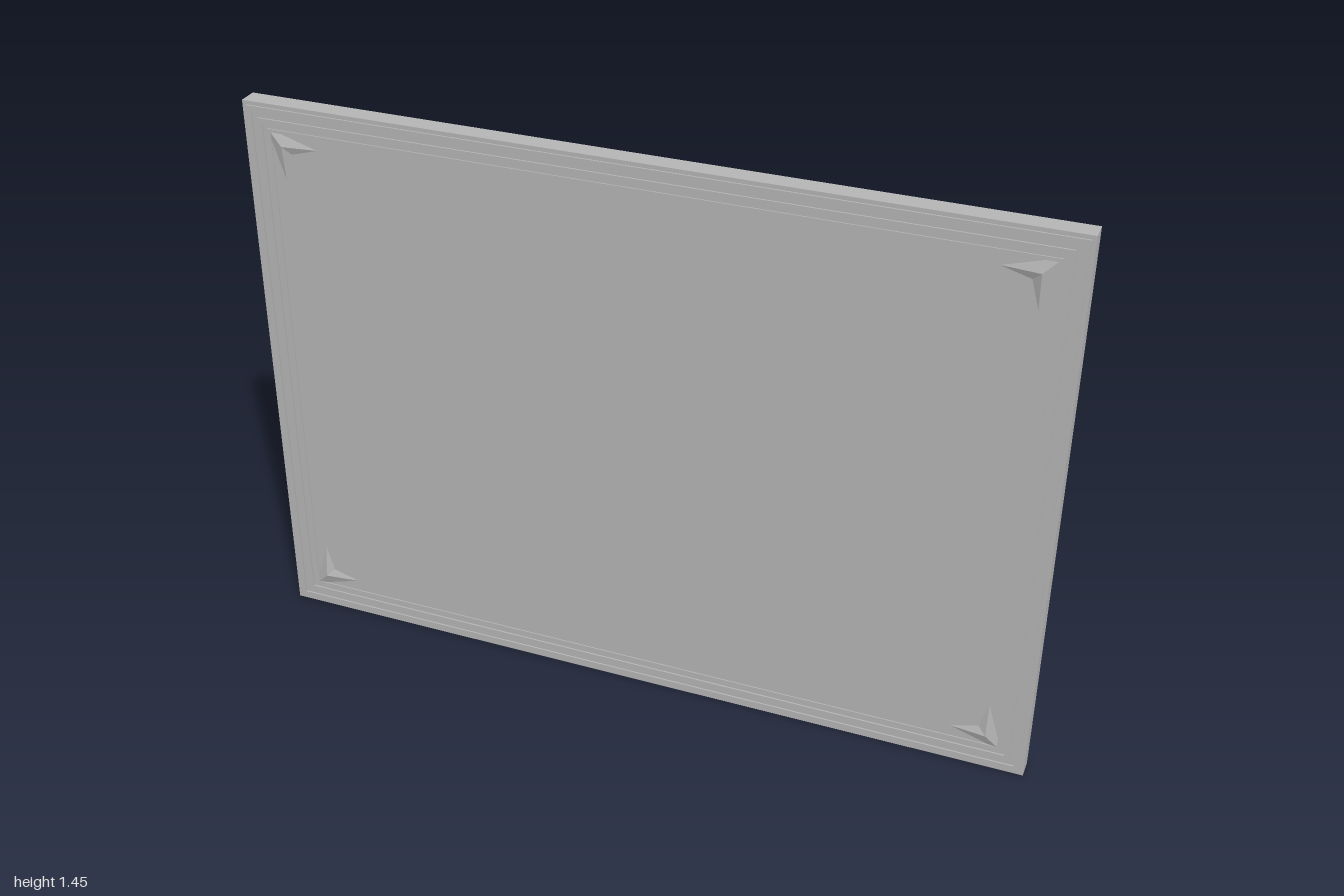
import * as THREE from 'three';

const W = 2, H = 1.445, CY = H / 2;
const FRONT = 0.027, BACK = -0.022;

export function createModel() {
  const model = new THREE.Group();
  model.name = 'framedPanel';
  const grey = new THREE.MeshStandardMaterial({ color: 0xb4b4b4 });
  grey.name = 'grey';
  grey.flatShading = true;

  const add = (name, geometry, parent = model) => {
    const mesh = new THREE.Mesh(geometry, grey);
    mesh.name = name;
    parent.add(mesh);
    return mesh;
  };
  const box = (name, x0, x1, y0, y1, z0, z1, parent) =>
    add(name, new THREE.BoxGeometry(x1 - x0, y1 - y0, z1 - z0), parent)
      .position.set((x0 + x1) / 2, (y0 + y1) / 2, (z0 + z1) / 2);
  const rect = (target, hw, hh) => {
    target.moveTo(-hw, CY - hh);
    target.lineTo(hw, CY - hh);
    target.lineTo(hw, CY + hh);
    target.lineTo(-hw, CY + hh);
    target.closePath();
    return target;
  };
  const ring = (hw, hh, holeW, holeH, depth, z) => {
    const shape = rect(new THREE.Shape(), hw, hh);
    shape.holes.push(rect(new THREE.Path(), holeW, holeH));
    const g = new THREE.ExtrudeGeometry(shape, { depth, bevelEnabled: false });
    return g.translate(0, 0, z);
  };

  // Thick frame, open at the back, closed by a thin front sheet
  const openW = 0.83, openH = 0.555, sheet = 0.004;
  add('frame', ring(W / 2, CY, openW, openH, FRONT - sheet - BACK, BACK));
  box('frontSheet', -W / 2, W / 2, 0, H, FRONT - sheet, FRONT);

  // Fine concentric mouldings on the front
  for (const [inset, width, height] of [[0.01, 0.014, 0.004], [0.038, 0.012, 0.004], [0.062, 0.008, 0.003]]) {
    add('moulding', ring(W / 2 - inset, CY - inset, W / 2 - inset - width, CY - inset - width, height, FRONT));
  }

  // Rails around the rear opening, meeting only at their corners
  const rails = new THREE.Group();
  rails.name = 'rearRails';
  model.add(rails);
  const railBack = -0.037, railW = 0.058;
  for (const s of [-1, 1]) {
    const x = s * (openW + railW / 2), y = CY + s * (openH + railW / 2);
    box('sideRail', x - railW / 2, x + railW / 2, CY - openH, CY + openH, railBack, BACK, rails);
    box('crossRail', -openW, openW, y - railW / 2, y + railW / 2, railBack, BACK, rails);
  }

  // Low faceted three-pointed ornaments in the corners
  const outline = [[0.04, 0.04], [-0.09, 0], [-0.02, -0.02], [0, -0.09]];
  for (const sx of [-1, 1]) for (const sy of [-1, 1]) {
    const pos = [0, 0, 0.01];
    for (const [x, y] of outline) pos.push(x * sx, y * sy, 0);
    const index = [];
    for (let i = 0; i < 4; i++) {
      const a = i + 1, b = (i + 1) % 4 + 1;
      index.push(0, ...(sx * sy > 0 ? [a, b] : [b, a]));
    }
    const g = new THREE.BufferGeometry();
    g.setAttribute('position', new THREE.Float32BufferAttribute(pos, 3));
    g.setIndex(index);
    const flat = g.toNonIndexed();
    flat.computeVertexNormals();
    add('cornerOrnament', flat).position.set(sx * 0.9, CY + sy * 0.6225, FRONT);
  }
  return model;
}
